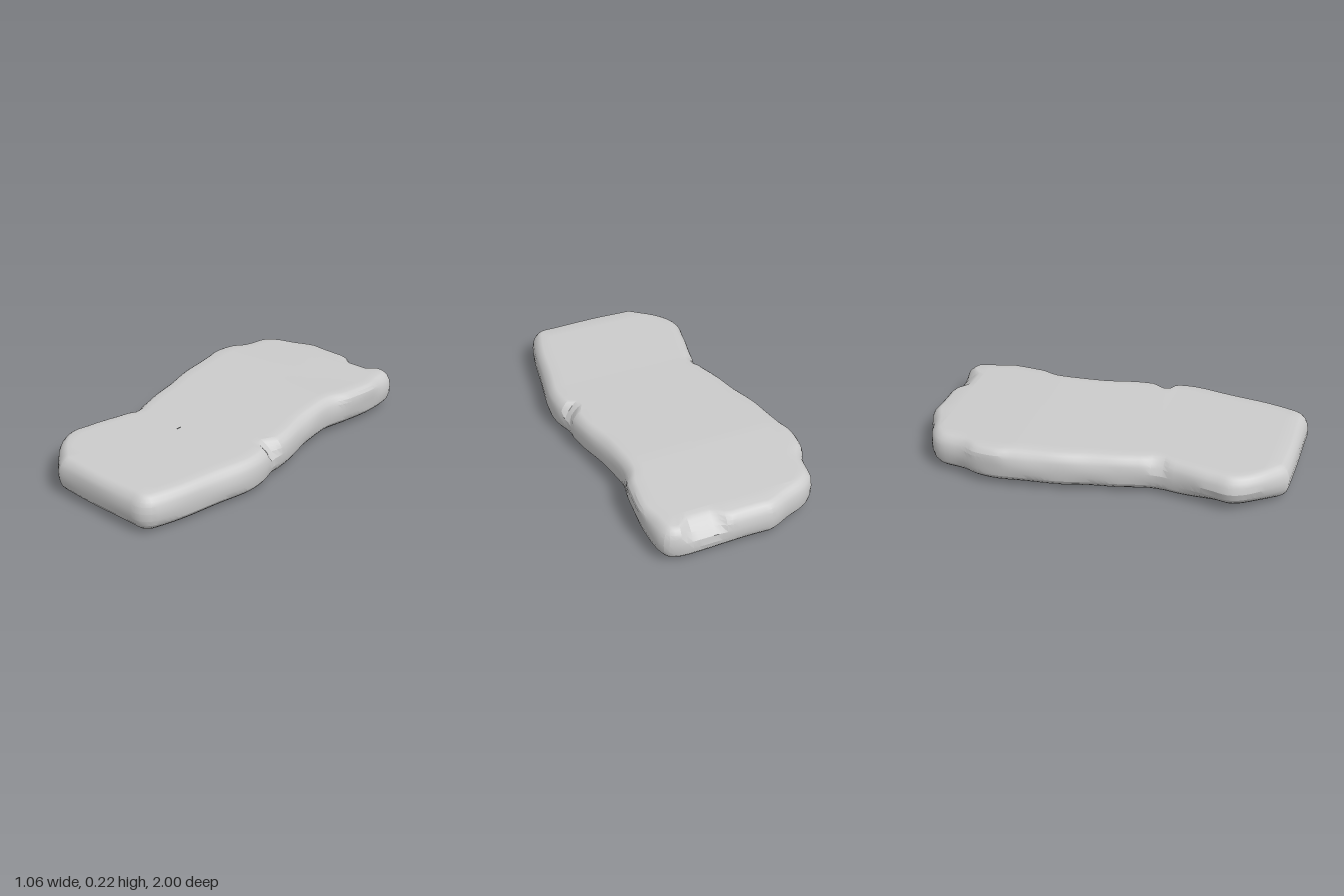
import * as THREE from 'three';
import { toCreasedNormals } from 'three/addons/utils/BufferGeometryUtils.js';

// Plan outline of the slab as [x, z], from the back left corner round by the right
const OUTLINE = [
  [-0.16, -1], [0.1, -1], [0.34, -0.995], [0.40, -0.97], [0.428, -0.91], [0.425, -0.56], [0.40, -0.4],
  [0.43, -0.2], [0.49, 0.08], [0.495, 0.15], [0.52, 0.25], [0.525, 0.38], [0.48, 0.65],
  [0.44, 0.88], [0.41, 0.96], [0.35, 1], [0.1, 1], [-0.2, 1], [-0.27, 0.95], [-0.40, 0.81],
  [-0.43, 0.73], [-0.41, 0.62], [-0.365, 0.34], [-0.44, 0.02], [-0.52, -0.35], [-0.525, -0.6],
  [-0.49, -0.71], [-0.46, -0.84], [-0.40, -0.90], [-0.28, -0.95],
];
// Edge profile from the underside to the top: [height, inset]
const PROFILE = [
  [0, 0.06], [0.012, 0.042], [0.03, 0.022], [0.05, 0.008], [0.08, 0.001], [0.12, 0],
  [0.155, 0.003], [0.175, 0.011], [0.192, 0.025], [0.201, 0.038], [0.205, 0.05],
];
// Chips in the upper edge: [x, z, radius, depth]
const CHIPS = [
  [0.2, -1, 0.14, 0.055], [0.48, 0.16, 0.06, 0.035], [-0.36, 0.34, 0.06, 0.015],
  [0.42, -0.65, 0.2, -0.02], [-0.52, -0.55, 0.15, -0.015],
];
const SEGMENTS = 180;
const { clamp, smoothstep } = THREE.MathUtils;

// Gentle hump along the length, highest behind the middle
function bow(z) {
  return z > -0.4 ? 0.017 * clamp((0.35 - z) / 0.75, 0, 1) : 0.003 + 0.014 * (z + 1) / 0.6;
}

function slabGeometry() {
  const curve = new THREE.CatmullRomCurve3(OUTLINE.map(([x, z]) => new THREE.Vector3(x, 0, z)), true);
  const base = [];
  for (let i = 0; i < SEGMENTS; i++) {
    const p = curve.getPointAt(i / SEGMENTS), t = curve.getTangentAt(i / SEGMENTS);
    base.push({ x: p.x, z: clamp(p.z, -1, 1), nx: t.z, nz: -t.x });
  }

  // Rounded, chipped side rings
  const rings = PROFILE.map(([y, inset]) => base.map((p) => {
    const upper = smoothstep(y, 0.1, 0.2), lower = 1 - smoothstep(y, 0, 0.12);
    let d = inset;
    for (const [cx, cz, r, depth] of CHIPS) {
      d += upper * depth * (1 - smoothstep(Math.hypot(p.x - cx, p.z - cz), r * 0.4, r));
    }
    // Worn underside along the left front corner, and a faint ripple
    d += lower * 0.045 * (1 - smoothstep(Math.hypot(p.x + 0.42, p.z - 0.75), 0.1, 0.35));
    d += (upper + lower) * 0.004 * (1 + Math.sin(p.z * 17 + p.x * 11));
    return [p.x - p.nx * d, y + bow(p.z), p.z - p.nz * d];
  }));

  // Flat faces: close each end ring on the centre line
  const cap = (ring, y, k) => ring.map(([x, , z]) => {
    const cz = clamp(z, -0.87, 0.87);
    return [x * k, y + bow(cz), cz];
  });
  const bottom = rings[0], top = rings[rings.length - 1];
  const all = [cap(bottom, 0, 0), cap(bottom, 0, 0.88), ...rings, cap(top, 0.205, 0.88), cap(top, 0.205, 0)];

  const index = [];
  for (let j = 0; j < all.length - 1; j++) {
    for (let i = 0; i < SEGMENTS; i++) {
      const n = (i + 1) % SEGMENTS, lo = j * SEGMENTS, hi = lo + SEGMENTS;
      index.push(lo + i, hi + i, hi + n, lo + i, hi + n, lo + n);
    }
  }
  const geometry = new THREE.BufferGeometry();
  geometry.setAttribute('position', new THREE.Float32BufferAttribute(all.flat(2), 3));
  geometry.setIndex(index);
  return toCreasedNormals(geometry, 0.35);
}

export function createModel() {
  const group = new THREE.Group();
  group.name = 'stoneSlab';
  const slab = new THREE.Mesh(slabGeometry(), new THREE.MeshStandardMaterial({ color: 0xcccccc }));
  slab.name = 'slab';
  group.add(slab);
  return group;
}
